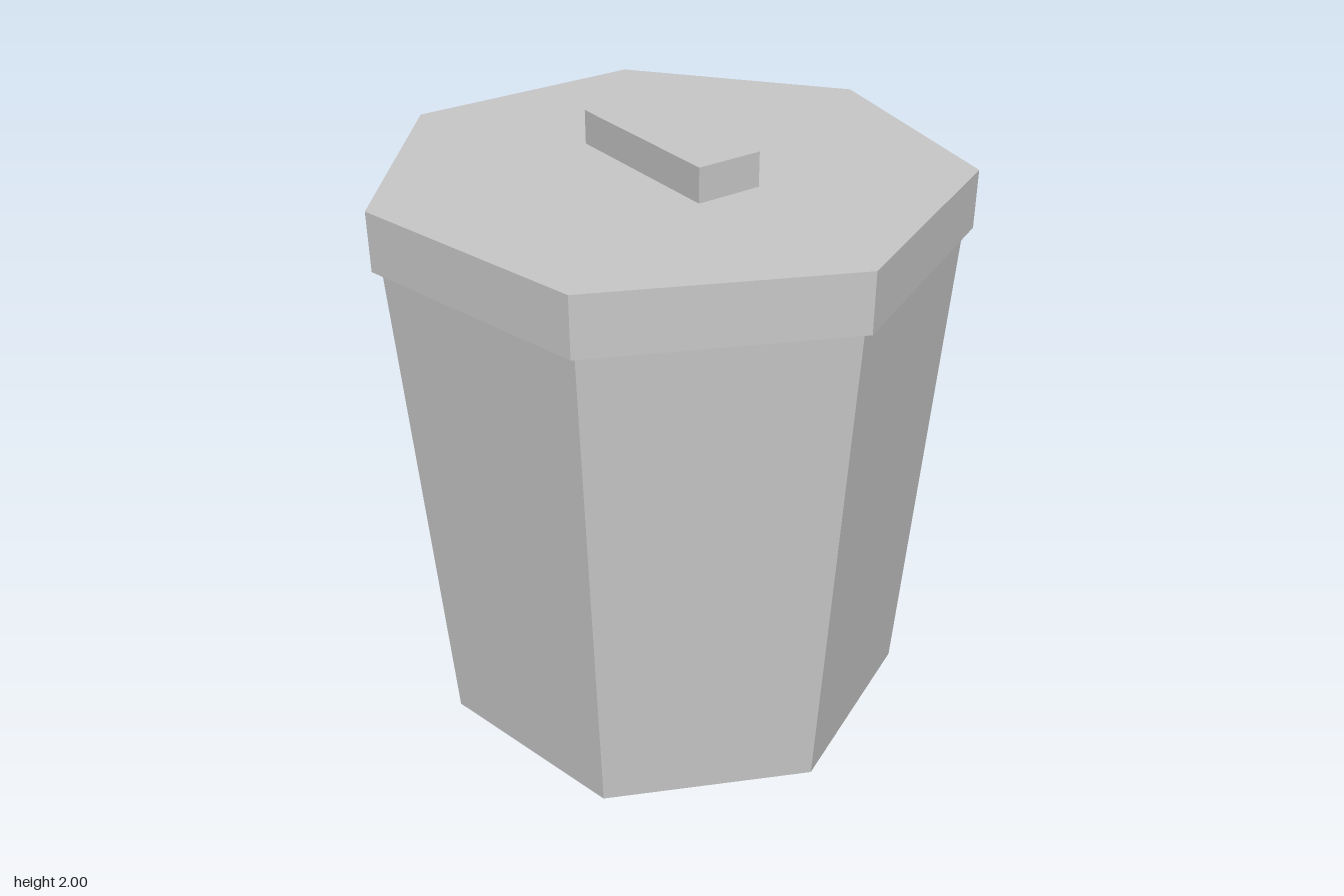
import * as THREE from 'three';

const SIDES = 7;
const CENTRE_X = -0.048; // shifts the seven-sided shape so its bounds are centred

export function createModel() {
  const group = new THREE.Group();
  group.name = 'trashCan';

  const grey = new THREE.MeshStandardMaterial({ color: 0xc8c8c8, flatShading: true, side: THREE.DoubleSide });
  grey.name = 'grey metal';

  const add = (name, geometry, y = 0) => {
    const mesh = new THREE.Mesh(geometry, grey);
    mesh.name = name;
    mesh.position.set(CENTRE_X, y, 0);
    group.add(mesh);
  };

  // Seven-sided shell from a profile, with one corner pointing to +x
  const shell = (profile) =>
    new THREE.LatheGeometry(profile.map(([r, y]) => new THREE.Vector2(r, y)), SIDES, Math.PI / 2);

  // Tapered bin, open underneath, reaching up inside the lid
  add('body', shell([[0.802, 0], [0.924, 1.88]]));
  // Overhanging lid with an open skirt
  add('lid', shell([[0.942, 1.7], [0.942, 1.89], [0, 1.89]]));
  // Block handle
  add('handle', new THREE.BoxGeometry(0.603, 0.11, 0.22), 1.945);

  return group;
}
